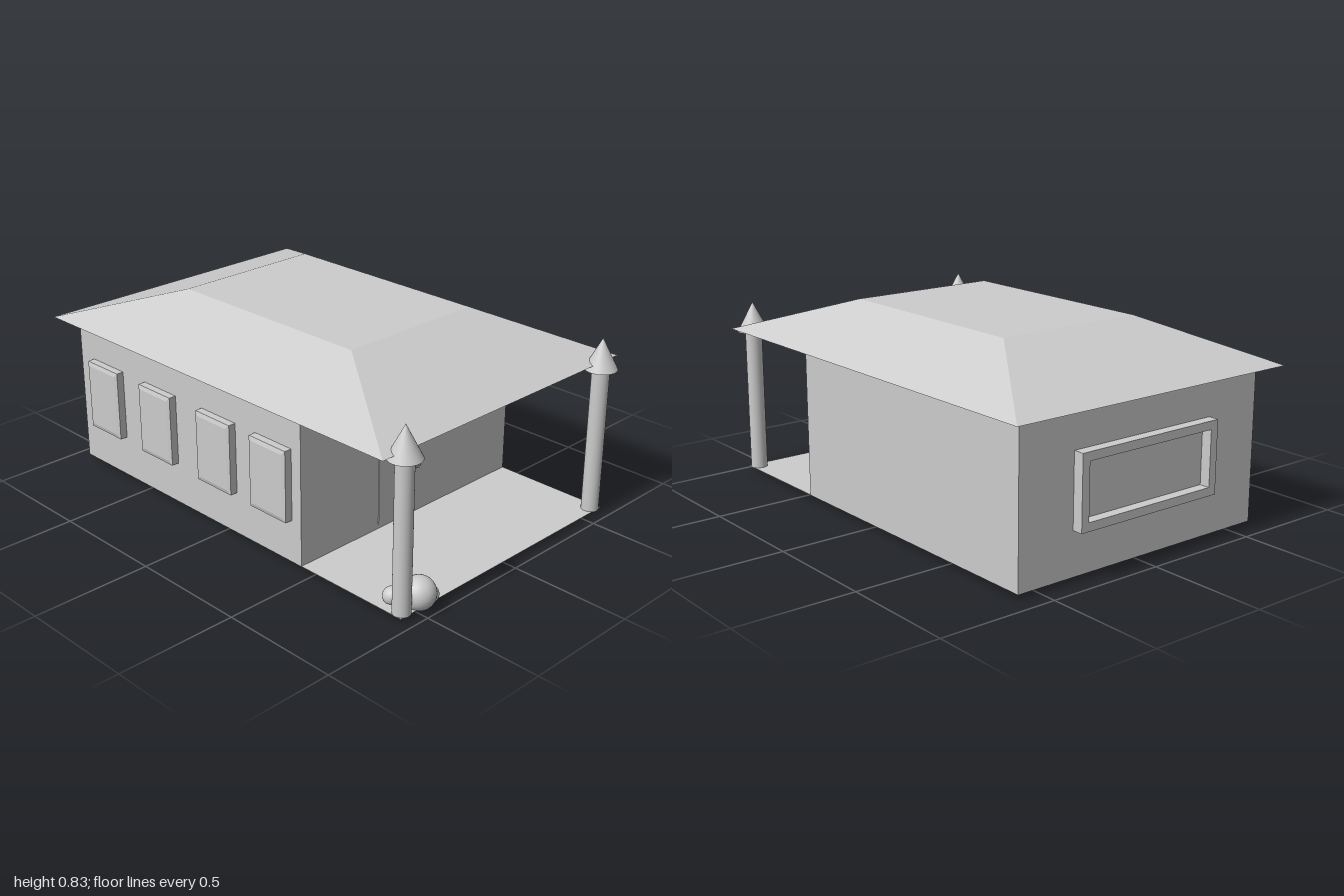
import * as THREE from 'three';

export function createModel() {
  const group = new THREE.Group();
  const stone = new THREE.MeshStandardMaterial({ color: 0xcccccc });
  stone.name = 'light grey';
  const stoneTwoSided = stone;
  stoneTwoSided.side = THREE.DoubleSide;

  function add(name, geometry, x, y, z, parent = group) {
    const mesh = new THREE.Mesh(geometry, stone);
    mesh.name = name;
    mesh.position.set(x, y, z);
    parent.add(mesh);
    return mesh;
  }

  // Box whose top face is shrunk to topW x topD
  function taperedBox(w, h, d, topW, topD) {
    const geometry = new THREE.BoxGeometry(w, h, d);
    const p = geometry.attributes.position;
    for (let i = 0; i < p.count; i++) {
      if (p.getY(i) > 0) {
        p.setX(i, Math.sign(p.getX(i)) * topW / 2);
        p.setZ(i, Math.sign(p.getZ(i)) * topD / 2);
      }
    }
    geometry.computeVertexNormals();
    return geometry;
  }

  // House body and porch floor
  add('houseBody', new THREE.BoxGeometry(1.2, 0.645, 1.365), 0, 0.3425, -0.2375);
  add('porchFloor', new THREE.BoxGeometry(1.2, 0.002, 0.515), 0, 0.021, 0.7025);

  // Hipped roof with a flat top
  add('roof', taperedBox(1.35, 0.165, 1.93, 0.665, 0.95), 0, 0.7475, -0.035);

  // Porch columns with pointed caps
  for (const side of [-1, 1]) {
    const column = new THREE.Group();
    column.name = side > 0 ? 'leftColumn' : 'rightColumn';
    column.position.set(side * 0.565, 0, 0.931);
    add('shaft', new THREE.CylinderGeometry(0.036, 0.036, 0.62, 32), 0, 0.33, 0, column);
    add('cap', new THREE.ConeGeometry(0.067, 0.13, 32), 0, 0.705, 0, column);
    group.add(column);
  }

  // Double door plate with ring handles
  add('door', new THREE.BoxGeometry(0.36, 0.41, 0.004), 0, 0.245, 0.446);
  for (const side of [-1, 1]) {
    const ring = add('doorHandle', new THREE.TorusGeometry(0.011, 0.004, 10, 24), side * 0.034, 0.236, 0.459);
    ring.scale.z = 0.6;
  }

  // Shutters along the right wall, each with a shallow bevelled face
  for (const z of [-0.73, -0.383, -0.02, 0.295]) {
    const shutter = new THREE.Group();
    shutter.name = 'sideShutter';
    shutter.position.set(-0.6, 0.35, z);
    shutter.rotation.z = Math.PI / 2;
    add('base', new THREE.BoxGeometry(0.3, 0.032, 0.2), 0, 0.016, 0, shutter);
    add('bevel', taperedBox(0.3, 0.005, 0.2, 0.265, 0.165), 0, 0.0345, 0, shutter);
    group.add(shutter);
  }

  // Open frame on the back wall
  const frame = new THREE.Shape();
  frame.moveTo(-0.345, -0.15).lineTo(0.345, -0.15).lineTo(0.345, 0.15).lineTo(-0.345, 0.15).closePath();
  const opening = new THREE.Path();
  opening.moveTo(-0.31, -0.115).lineTo(-0.31, 0.115).lineTo(0.31, 0.115).lineTo(0.31, -0.115).closePath();
  frame.holes.push(opening);
  add('backWindowFrame', new THREE.ExtrudeGeometry(frame, { depth: 0.045, bevelEnabled: false }), 0, 0.35, -0.965);

  // Round bushes beside the right column: x, y, z, radius
  const bushes = [
    [-0.476, 0.067, 0.933, 0.067],
    [-0.418, 0.038, 0.935, 0.035],
    [-0.53, 0.042, 0.85, 0.036],
  ];
  for (const [x, y, z, r] of bushes) {
    add('bush', new THREE.SphereGeometry(r, 32, 16), x, y, z);
  }

  return group;
}
